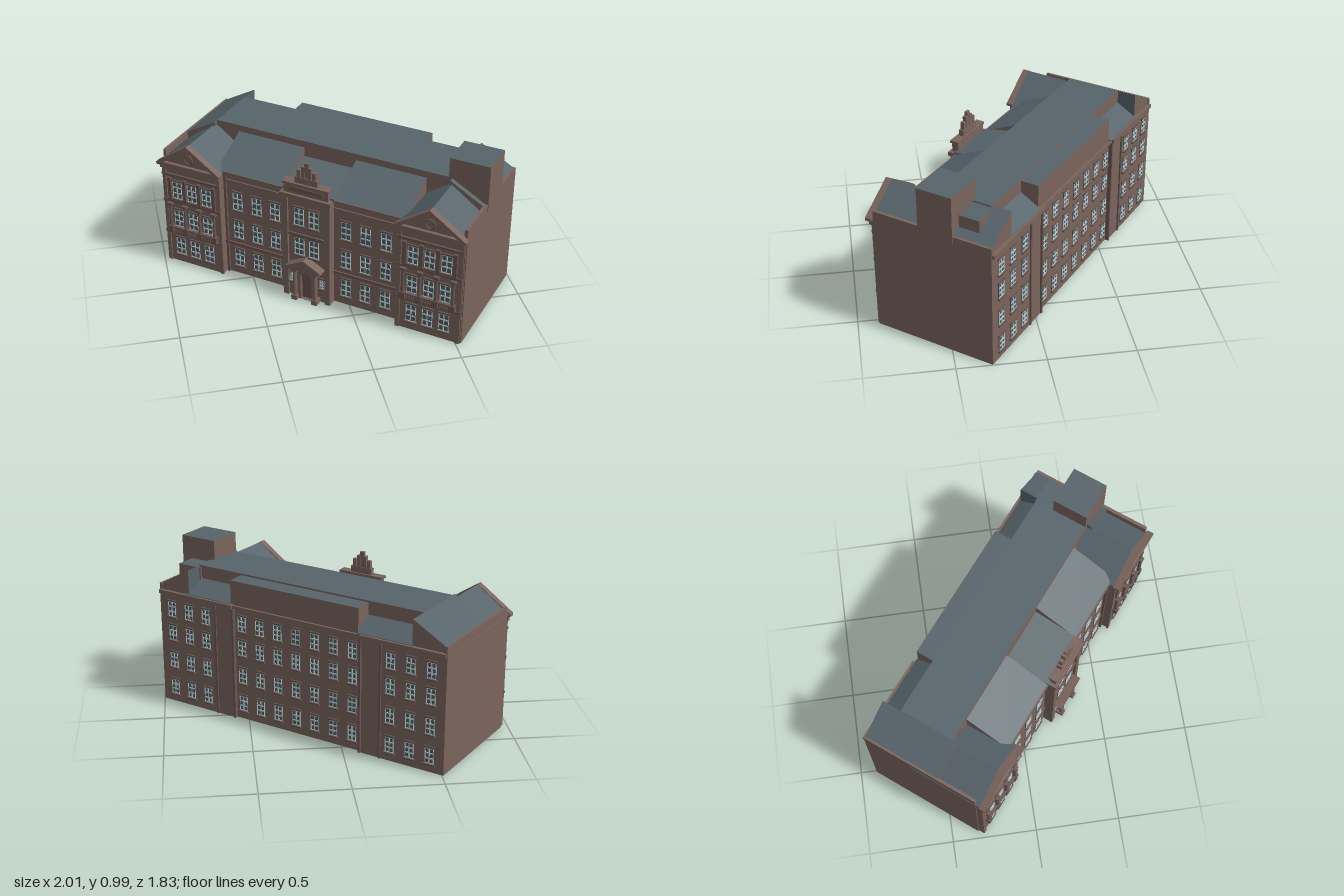
import * as THREE from 'three';

const mat = (name, color) => {
  const m = new THREE.MeshStandardMaterial({ color });
  m.name = name;
  return m;
};

export function createModel() {
  const wall = mat('brownStone', 0x79645c);
  const trim = mat('darkStone', 0x695650);
  const roof = mat('slateRoof', 0x56646a);
  const glass = mat('windowGlass', 0x4f5c61);
  const frame = mat('windowFrame', 0xc4d6da);
  const model = new THREE.Group();
  model.name = 'building';
  // the whole block stands turned on the site: local x runs along the facade
  const block = new THREE.Group();
  block.name = 'block';
  block.rotation.y = -0.675;
  model.add(block);

  const add = (name, geo, m, x = 0, y = 0, z = 0) => {
    const mesh = new THREE.Mesh(geo, m);
    mesh.name = name;
    mesh.position.set(x, y, z);
    block.add(mesh);
    return mesh;
  };
  // box given by its limits
  const box = (name, x0, x1, y0, y1, z0, z1, m = wall) =>
    add(name, new THREE.BoxGeometry(x1 - x0, y1 - y0, z1 - z0), m, (x0 + x1) / 2, (y0 + y1) / 2, (z0 + z1) / 2);
  const roofed = [wall, wall, roof, wall, wall, wall];
  const poly = (pts) => new THREE.Shape(pts.map(([x, y]) => new THREE.Vector2(x, y)));
  const extrude = (shape, depth) => new THREE.ExtrudeGeometry(shape, { depth, bevelEnabled: false, curveSegments: 10 });
  // prism with an (x, y) profile running from z0 to z1
  const prismZ = (name, pts, z0, z1, m) => add(name, extrude(poly(pts), z1 - z0), m, 0, 0, z0);
  // prism with a (z, y) profile running from x0 to x1
  const prismX = (name, pts, x0, x1, m) => {
    const g = extrude(poly(pts.map(([z, y]) => [-z, y])), x1 - x0);
    g.rotateY(Math.PI / 2);
    return add(name, g, m, x0);
  };

  // main walls: two end wings, recessed links and a projecting centre
  const plan = [[-0.955, 0.36], [-0.57, 0.36], [-0.57, 0.31], [-0.15, 0.31], [-0.15, 0.355],
    [0.15, 0.355], [0.15, 0.31], [0.57, 0.31], [0.57, 0.36], [0.96, 0.36], [0.96, -0.39],
    [0.53, -0.39], [0.53, -0.375], [-0.56, -0.375], [-0.56, -0.39], [-0.955, -0.39]];
  const body = extrude(poly(plan.map(([x, z]) => [x, -z])), 0.7);
  body.rotateX(-Math.PI / 2);
  add('mainWalls', body, wall);
  box('leftEndWall', 0.945, 0.965, 0, 0.75, -0.39, 0.35);
  box('rightEndWall', -0.962, -0.945, 0, 0.75, -0.39, 0.33);

  // upper storey with flat roof
  box('attic', -0.75, 0.76, 0.69, 0.865, -0.27, 0.06, roofed);
  box('rearAttic', -0.41, 0.45, 0.69, 0.855, -0.378, -0.26, roofed);
  for (const s of [-1, 1]) {
    const [a, b] = s < 0 ? [-0.76, -0.41] : [0.45, 0.77];
    prismX('rearWingRoof', [[-0.39, 0.69], [-0.26, 0.69], [-0.26, 0.79], [-0.39, 0.715]], a, b, [wall, roof]);
    const hip = [[0.95, 0.69], [0.95, 0.75], [0.75, 0.862], [0.75, 0.69]].map(([x, y]) => [s * x, y]);
    prismZ('endRoof', hip, -0.385, 0.09, [wall, roof]);
    // sloping roof over the recessed link
    const [c, d] = s < 0 ? [-0.6, -0.165] : [0.165, 0.6];
    prismX('linkRoof', [[0.325, 0.69], [0.325, 0.705], [0.06, 0.825], [0.05, 0.69]], c, d, [wall, roof]);
  }
  prismX('centreRoof', [[0.34, 0.69], [0.34, 0.715], [0.05, 0.77], [0.05, 0.69]], -0.165, 0.165, [wall, roof]);

  // stair tower with a lower block behind it
  box('stairTower', 0.73, 0.968, 0.7, 0.985, -0.155, 0.06, roofed);
  box('towerAnnex', 0.74, 0.9, 0.7, 0.85, -0.28, -0.15, roofed);

  // gabled front wings
  for (const s of [-1, 1]) {
    const cx = 0.76 * s;
    const tri = (w, y0, y1) => [[cx - w, y0], [cx + w, y0], [cx, y1]];
    prismZ('gableRoof', tri(0.205, 0.695, 0.84), -0.1, 0.37, [wall, roof]);
    prismZ('pedimentFace', tri(0.195, 0.69, 0.825), 0.36, 0.376, wall);
    const ring = poly([[cx - 0.212, 0.682], [cx + 0.212, 0.682], [cx + 0.212, 0.698], [cx, 0.843], [cx - 0.212, 0.698]]);
    ring.holes.push(new THREE.Path(tri(0.165, 0.705, 0.815).map(([x, y]) => new THREE.Vector2(x, y))));
    add('pedimentMoulding', extrude(ring, 0.04), wall, 0, 0, 0.357);
    add('pedimentRoundel', new THREE.TorusGeometry(0.028, 0.006, 6, 16), trim, cx, 0.748, 0.378);
    box('wingCornice', cx - 0.2, cx + 0.2, 0.655, 0.685, 0.36, 0.38);
    for (const y of [0.205, 0.425, 0.605]) box('wingBand', cx - 0.198, cx + 0.195, y, y + 0.014, 0.36, 0.372, trim);
    for (const e of [-1, 1]) {
      const x = cx + e * 0.183;
      box('cornerPilaster', x - 0.012, x + 0.012, 0, 0.66, 0.355, 0.368);
    }
    // columns between the wing windows
    for (const k of [-1.5, -0.5, 0.5, 1.5]) {
      const x = cx + k * 0.1;
      add('wingColumn', new THREE.CylinderGeometry(0.009, 0.011, 0.15, 10), trim, x, 0.335, 0.376);
      box('columnBase', x - 0.016, x + 0.016, 0.215, 0.26, 0.355, 0.39, trim);
      box('columnHead', x - 0.016, x + 0.016, 0.405, 0.422, 0.355, 0.39, trim);
      box('upperPilaster', x - 0.011, x + 0.011, 0.438, 0.59, 0.355, 0.373, trim);
    }
    // balustrades
    for (let k = -1; k <= 1; k++) {
      const x = cx + k * 0.1;
      box('balconyRail', x - 0.035, x + 0.035, 0.25, 0.257, 0.365, 0.385, trim);
      for (let j = -2; j <= 2; j++) box('baluster', x + j * 0.014 - 0.004, x + j * 0.014 + 0.004, 0.215, 0.25, 0.368, 0.382, trim);
    }
    // link trimmings
    const [a, b] = s < 0 ? [-0.57, -0.15] : [0.15, 0.57];
    box('linkCornice', a, b, 0.675, 0.705, 0.3, 0.332);
    box('linkFrieze', a, b, 0.635, 0.648, 0.3, 0.318);
    box('linkBand', a, b, 0.205, 0.22, 0.3, 0.32, trim);
    box('drainPipe', s * 0.555 - 0.007, s * 0.555 + 0.007, 0, 0.68, 0.305, 0.324, trim);
    box('centrePilaster', s * 0.135 - 0.017, s * 0.135 + 0.017, 0, 0.68, 0.35, 0.37);
  }

  // centre bay parapet and stepped crest
  box('centreCornice', -0.16, 0.16, 0.68, 0.705, 0.3, 0.382);
  box('centreParapet', -0.14, 0.14, 0.7, 0.765, 0.325, 0.365);
  box('parapetPanel', -0.105, 0.105, 0.722, 0.748, 0.36, 0.369, trim);
  box('parapetCap', -0.148, 0.148, 0.763, 0.777, 0.32, 0.374);
  box('crestBase', -0.07, 0.07, 0.775, 0.815, 0.33, 0.36);
  for (const [x, h] of [[-0.048, 0.86], [-0.02, 0.885], [0.02, 0.885], [0.048, 0.86]])
    box('crestPost', x - 0.011, x + 0.011, 0.81, h, 0.333, 0.357);
  box('crestFinial', -0.014, 0.014, 0.81, 0.91, 0.336, 0.354);
  box('centreBand', -0.15, 0.15, 0.425, 0.44, 0.35, 0.366, trim);

  // entrance porch with columns, arch and pediment
  const arch = poly([[-0.065, 0], [-0.065, 0.215], [0.065, 0.215], [0.065, 0]]);
  const opening = new THREE.Path();
  opening.moveTo(-0.034, 0.002);
  opening.lineTo(0.034, 0.002);
  opening.lineTo(0.034, 0.15);
  opening.absarc(0, 0.15, 0.034, 0, Math.PI, false);
  opening.lineTo(-0.034, 0.002);
  arch.holes.push(opening);
  add('porchArch', extrude(arch, 0.025), wall, 0, 0, 0.353);
  box('door', -0.036, 0.036, 0, 0.19, 0.352, 0.358, trim);
  for (const s of [-1, 1]) {
    add('porchColumn', new THREE.CylinderGeometry(0.012, 0.014, 0.17, 12), wall, s * 0.065, 0.115, 0.388);
    box('porchPlinth', s * 0.065 - 0.018, s * 0.065 + 0.018, 0, 0.03, 0.355, 0.406);
    box('porchCapital', s * 0.065 - 0.018, s * 0.065 + 0.018, 0.198, 0.215, 0.355, 0.406);
  }
  box('porchBeam', -0.1, 0.1, 0.213, 0.232, 0.35, 0.408);
  prismZ('porchPediment', [[-0.115, 0.232], [0.115, 0.232], [0, 0.292]], 0.35, 0.41, wall);

  // windows: glass plate, white glazing bars and a sill
  const makeWindow = (w, h) => {
    const outer = poly([[-w / 2, -h / 2], [w / 2, -h / 2], [w / 2, h / 2], [-w / 2, h / 2]]);
    const t = 0.0035, cw = w / 2, ch = h / 3;
    for (let i = 0; i < 2; i++) for (let j = 0; j < 3; j++) {
      const x0 = -w / 2 + i * cw + t, x1 = x0 + cw - 2 * t, y0 = -h / 2 + j * ch + t, y1 = y0 + ch - 2 * t;
      outer.holes.push(new THREE.Path([[x0, y0], [x0, y1], [x1, y1], [x1, y0]].map((p) => new THREE.Vector2(...p))));
    }
    const parts = [['windowGlass', new THREE.BoxGeometry(w, h, 0.004), glass, 0, 0.001],
      ['windowBars', extrude(outer, 0.003), frame, 0, 0.003],
      ['windowSill', new THREE.BoxGeometry(w + 0.016, 0.009, 0.018), trim, -h / 2 - 0.006, 0.004],
      ['windowLintel', new THREE.BoxGeometry(w + 0.012, 0.01, 0.01), trim, h / 2 + 0.006, 0.003]];
    return (x, y, z, back = false) => {
      const g = new THREE.Group();
      g.name = 'window';
      for (const [name, geo, m, py, pz] of parts) {
        const mesh = new THREE.Mesh(geo, m);
        mesh.name = name;
        mesh.position.set(0, py, pz);
        g.add(mesh);
      }
      g.position.set(x, y, z);
      if (back) g.rotation.y = Math.PI;
      block.add(g);
    };
  };
  const frontWindow = makeWindow(0.062, 0.115);
  const smallWindow = makeWindow(0.03, 0.06);
  const rearWindow = makeWindow(0.054, 0.092);
  for (const y of [0.117, 0.315, 0.51]) for (const s of [-1, 1]) {
    for (const x of [0.66, 0.76, 0.86]) frontWindow(s * x, y, 0.361);
    for (const x of [0.228, 0.35, 0.477]) frontWindow(s * x, y, 0.311);
  }
  for (const s of [-1, 1]) {
    for (const y of [0.355, 0.555]) frontWindow(s * 0.047, y, 0.356);
    smallWindow(s * 0.098, 0.13, 0.356);
  }
  for (const y of [0.1, 0.275, 0.45, 0.6]) for (let i = -7; i <= 7; i++) {
    rearWindow(i * 0.125, y, Math.abs(i) > 4 ? -0.391 : -0.376, true);
  }

  // rear wings step out; fill behind the fifth window bays, pilasters and eaves
  box('rearLeftBay', 0.44, 0.54, 0, 0.7, -0.3898, -0.37);
  box('rearRightBay', -0.57, -0.44, 0, 0.7, -0.3898, -0.37);
  for (const x of [-0.56, -0.43, 0.43, 0.555]) box('rearPipe', x - 0.006, x + 0.006, 0, 0.69, -0.398, -0.37, trim);
  box('rearCorniceLeft', 0.43, 0.962, 0.69, 0.712, -0.405, -0.37);
  box('rearCorniceRight', -0.957, -0.43, 0.69, 0.712, -0.405, -0.37);
  box('rearCorniceCentre', -0.43, 0.43, 0.69, 0.708, -0.392, -0.36);

  return model;
}
